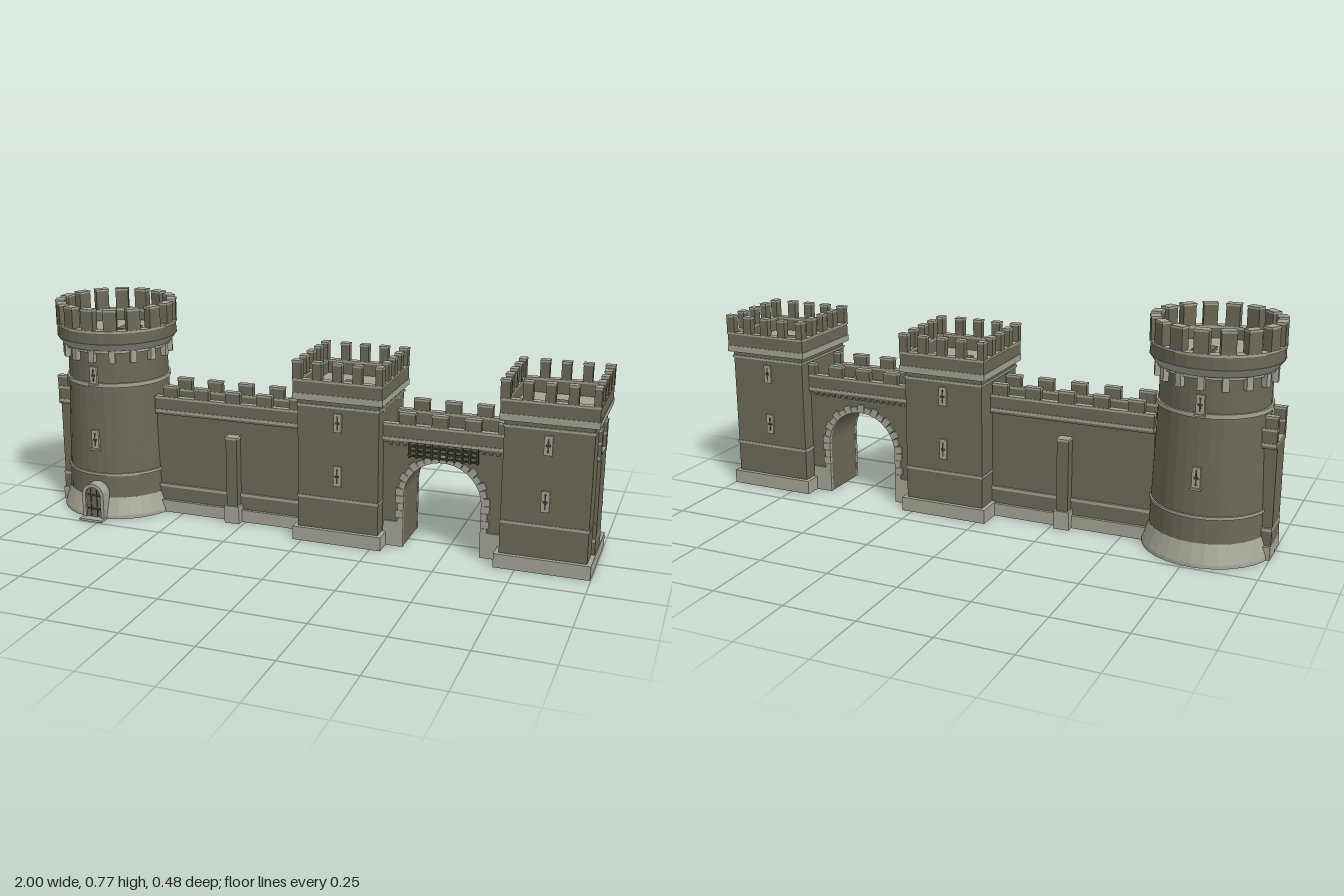
import * as THREE from 'three';

const ZC = -0.017; // shared centre line of walls and towers
const material = (name, color) => {
  const m = new THREE.MeshStandardMaterial({ color });
  m.name = name;
  return m;
};

export function createModel() {
  const root = new THREE.Group();
  root.name = 'castleWall';
  const stone = material('dark stone', 0x6b6857);
  const trim = material('pale stone', 0xa3a295);
  const iron = material('dark iron', 0x3b392f);
  stone.flatShading = trim.flatShading = true;

  const add = (parent, name, geo, mat, x = 0, y = 0, z = 0) => {
    const m = new THREE.Mesh(geo, mat);
    m.name = name;
    m.position.set(x, y, z);
    parent.add(m);
    return m;
  };
  // Box given by its centre in x and z and its bottom and top in y
  const box = (parent, name, mat, x, z, w, d, y0, y1) =>
    add(parent, name, new THREE.BoxGeometry(w, y1 - y0, d), mat, x, (y0 + y1) / 2, z);
  const group = (name, x = 0, z = ZC) => {
    const g = new THREE.Group();
    g.name = name;
    g.position.set(x, 0, z);
    root.add(g);
    return g;
  };

  // Arrow slit: pale surround with a dark cross, facing the given side
  const slit = (parent, x, y, z, side, h) => {
    const g = new THREE.Group();
    g.name = 'arrowSlit';
    g.position.set(x, y, z);
    if (side < 0) g.rotation.y = Math.PI;
    parent.add(g);
    box(g, 'slitSurround', trim, 0, 0, 0.028, 0.009, -h / 2, h / 2);
    box(g, 'slitOpening', iron, 0, 0.004, 0.005, 0.003, -h * 0.36, h * 0.36);
    box(g, 'slitCross', iron, 0, 0.004, 0.016, 0.003, -0.004, 0.004);
  };

  // Merlon with a pale cap
  const merlon = (parent, x, z, w, d, y0, y1) => {
    box(parent, 'merlon', stone, x, z, w, d, y0, y1 - 0.007);
    box(parent, 'merlonCap', trim, x, z, w + 0.002, d + 0.002, y1 - 0.007, y1);
  };

  // Wall-top parapets on both sides of a walkway
  const parapet = (g, x0, x1, half, merlons, mw) => {
    const x = (x0 + x1) / 2, w = x1 - x0;
    box(g, 'walkway', trim, x, 0, w, half * 2 - 0.02, 0.385, 0.393);
    for (const s of [-1, 1]) {
      const z = s * (half - 0.011);
      box(g, 'parapet', stone, x, z, w, 0.022, 0.375, 0.434);
      box(g, 'parapetBand', trim, x, z, w, 0.028, 0.384, 0.394);
      box(g, 'parapetCoping', trim, x, z, w, 0.026, 0.434, 0.442);
      for (const mx of merlons) merlon(g, mx, z, mw, 0.022, 0.442, 0.483);
    }
  };

  // Plain curtain wall with plinth and string course
  const curtain = (name, x0, x1, merlons, mw) => {
    const g = group(name), x = (x0 + x1) / 2, w = x1 - x0;
    box(g, 'wallBody', stone, x, 0, w, 0.112, 0, 0.39);
    box(g, 'wallPlinth', trim, x, 0, w, 0.144, 0, 0.045);
    box(g, 'wallLowerCourse', stone, x, 0, w, 0.122, 0.045, 0.095);
    box(g, 'wallString', trim, x, 0, w, 0.128, 0.095, 0.106);
    parapet(g, x0, x1, 0.07, merlons, mw);
    return g;
  };

  const wall = curtain('curtainWall', -0.6, -0.01, [0, 1, 2, 3, 4].map(i => -0.537 + i * 0.1215), 0.056);
  for (const s of [-1, 1]) {
    box(wall, 'buttress', stone, -0.292, s * 0.072, 0.042, 0.04, 0, 0.315);
    box(wall, 'buttressCap', trim, -0.292, s * 0.073, 0.046, 0.044, 0.315, 0.323);
    box(wall, 'buttressFoot', trim, -0.292, s * 0.075, 0.056, 0.048, 0, 0.065);
  }
  curtain('leftWallStub', -1, -0.94, [-0.98], 0.04);
  curtain('rightWallStub', 0.95, 0.995, [0.98], 0.03);

  // Square towers
  for (const [name, cx] of [['middleTower', 0.128], ['rightTower', 0.838]]) {
    const g = group(name, cx, -0.016);
    box(g, 'towerBody', stone, 0, 0, 0.29, 0.29, 0, 0.515);
    box(g, 'towerPlinth', trim, 0, 0, 0.32, 0.32, 0, 0.049);
    box(g, 'towerString', trim, 0, 0, 0.296, 0.296, 0.157, 0.166);
    box(g, 'towerNeckBand', trim, 0, 0, 0.298, 0.298, 0.486, 0.494);
    box(g, 'crownBand', trim, 0, 0, 0.32, 0.32, 0.51, 0.533);
    for (let q = 0; q < 4; q++) {
      const side = new THREE.Group();
      side.name = 'crownSide';
      side.rotation.y = q * Math.PI / 2;
      g.add(side);
      box(side, 'crownWall', stone, 0, 0.146, 0.316, 0.024, 0.533, 0.575);
      box(side, 'crownCoping', trim, 0, 0.147, 0.32, 0.026, 0.575, 0.582);
      for (let i = 0; i < 4; i++) merlon(side, -0.1435 + i * 0.07175, 0.147, 0.032, 0.024, 0.582, 0.645);
    }
    box(g, 'roofHatch', stone, 0, 0, 0.062, 0.07, 0.533, 0.542);
    for (const s of [-1, 1]) {
      slit(g, 0, 0.437, s * 0.147, s, 0.066);
      slit(g, 0, 0.247, s * 0.147, s, 0.072);
    }
  }

  // Gate section with arched passage
  const gate = group('gatehouse'), gx = 0.483, R = 0.135, spring = 0.185, gh = 0.09;
  const shape = new THREE.Shape();
  shape.moveTo(0.26, 0);
  shape.lineTo(gx - R, 0);
  shape.lineTo(gx - R, spring);
  shape.absarc(gx, spring, R, Math.PI, 0, true);
  shape.lineTo(gx + R, 0);
  shape.lineTo(0.7, 0);
  shape.lineTo(0.7, 0.39);
  shape.lineTo(0.26, 0.39);
  add(gate, 'gateWall', new THREE.ExtrudeGeometry(shape, { depth: gh * 2, bevelEnabled: false, curveSegments: 20 }), stone, 0, 0, -gh);
  parapet(gate, 0.26, 0.7, 0.1, [0.245, 0.357, 0.469, 0.581, 0.693].map(x => x + 0.0), 0.055);
  for (const s of [-1, 1]) {
    // Arch stones, alternately long and short
    for (let i = 0; i < 17; i++) {
      const a = (i + 0.5) * Math.PI / 17, len = i % 2 ? 0.022 : 0.029;
      const v = box(gate, 'archStone', trim, 0, s * (gh + 0.001), len, 0.012, -0.0125, 0.0125);
      v.position.x = gx + Math.cos(a) * (R + len / 2 - 0.001);
      v.position.y = spring + Math.sin(a) * (R + len / 2 - 0.001);
      v.rotation.z = a;
    }
    // Jamb stones and low plinths beside the opening
    for (const m of [-1, 1]) {
      for (let i = 0; i < 7; i++) {
        const len = i % 2 ? 0.022 : 0.029;
        box(gate, 'jambStone', trim, gx + m * (R + len / 2 - 0.001), s * (gh + 0.001), len, 0.012, i * 0.0265, (i + 1) * 0.0265 - 0.001);
      }
      box(gate, 'gatePlinth', trim, gx + m * (R + 0.036), s * gh, 0.07, 0.014, 0, 0.09);
    }
    for (let i = 0; i < 16; i++) box(gate, 'smallCorbel', stone, 0.3 + i * 0.0245, s * (gh + 0.003), 0.01, 0.012, 0.366, 0.377);
  }
  // Raised portcullis
  for (let i = 0; i < 10; i++) box(gate, 'portcullisBar', iron, gx - 0.117 + i * 0.026, gh + 0.009, 0.007, 0.008, 0.328, 0.392);
  for (let i = 0; i < 4; i++) box(gate, 'portcullisRail', iron, gx, gh + 0.009, 0.242, 0.007, 0.332 + i * 0.0165, 0.338 + i * 0.0165);

  // Round tower built from turned rings
  const tower = group('roundTower', -0.78, -0.018);
  const turn = (name, mat, pts) =>
    add(tower, name, new THREE.LatheGeometry(pts.map(p => new THREE.Vector2(...p)), 32), mat);
  turn('towerFoot', trim, [[0, 0], [0.222, 0], [0.221, 0.012], [0.198, 0.075], [0.19, 0.075]]);
  turn('towerShaft', stone, [[0.198, 0.07], [0.182, 0.5], [0.18, 0.63]]);
  const ring = (name, r, t, y0, y1) => turn(name, trim, [[r - t, y0], [r, y0], [r, y1], [r - t, y1]]);
  ring('lowerString', 0.2, 0.012, 0.157, 0.167);
  ring('upperString', 0.189, 0.012, 0.487, 0.502);
  ring('corbelRing', 0.19, 0.015, 0.612, 0.624);
  turn('crownFlare', trim, [[0.178, 0.622], [0.196, 0.622], [0.214, 0.647], [0.217, 0.65], [0.19, 0.65]]);
  turn('crownWall', stone, [[0.19, 0.65], [0.215, 0.65], [0.215, 0.69]]);
  turn('crownInside', stone, [[0.184, 0.69], [0.184, 0.655]]);
  turn('crownCoping', trim, [[0.184, 0.69], [0.218, 0.69], [0.218, 0.698], [0.184, 0.698], [0.184, 0.69]]);
  turn('roofDeck', trim, [[0.186, 0.656], [0, 0.656]]);
  box(tower, 'roofHatch', stone, 0.04, -0.018, 0.066, 0.08, 0.656, 0.668);
  for (let i = 0; i < 16; i++) {
    const spoke = new THREE.Group();
    spoke.name = 'crownSpoke';
    spoke.rotation.y = i * Math.PI / 8;
    tower.add(spoke);
    merlon(spoke, 0, 0.2, 0.047, 0.032, 0.698, 0.774);
    box(spoke, 'corbel', trim, 0, 0.188, 0.022, 0.022, 0.578, 0.622);
  }
  for (const s of [-1, 1]) {
    slit(tower, 0, 0.53, s * 0.186, s, 0.064);
    slit(tower, 0, 0.293, s * 0.195, s, 0.07);
    box(tower, 'slitSill', trim, 0, s * 0.193, 0.036, 0.03, 0.254, 0.26);
    box(tower, 'slitSill', trim, 0, s * 0.184, 0.036, 0.026, 0.494, 0.5);
  }

  // Arched doorway with step
  const arch = (r, h) => {
    const s = new THREE.Shape();
    s.moveTo(-r, 0);
    s.lineTo(r, 0);
    s.lineTo(r, h);
    s.absarc(0, h, r, 0, Math.PI, false);
    return s;
  };
  const frame = arch(0.043, 0.093);
  frame.holes.push(arch(0.03, 0.093));
  add(tower, 'doorFrame', new THREE.ExtrudeGeometry(frame, { depth: 0.05, bevelEnabled: false }), trim, 0, 0, 0.188);
  add(tower, 'door', new THREE.ExtrudeGeometry(arch(0.031, 0.093), { depth: 0.04, bevelEnabled: false }), stone, 0, 0, 0.19);
  for (const x of [-0.012, 0.012]) box(tower, 'doorGap', iron, x, 0.231, 0.003, 0.003, 0.01, 0.115);
  for (const y of [0.035, 0.088]) box(tower, 'doorHinge', iron, 0, 0.231, 0.05, 0.004, y, y + 0.007);
  box(tower, 'doorStep', trim, 0, 0.232, 0.09, 0.06, 0, 0.008);
  return root;
}
